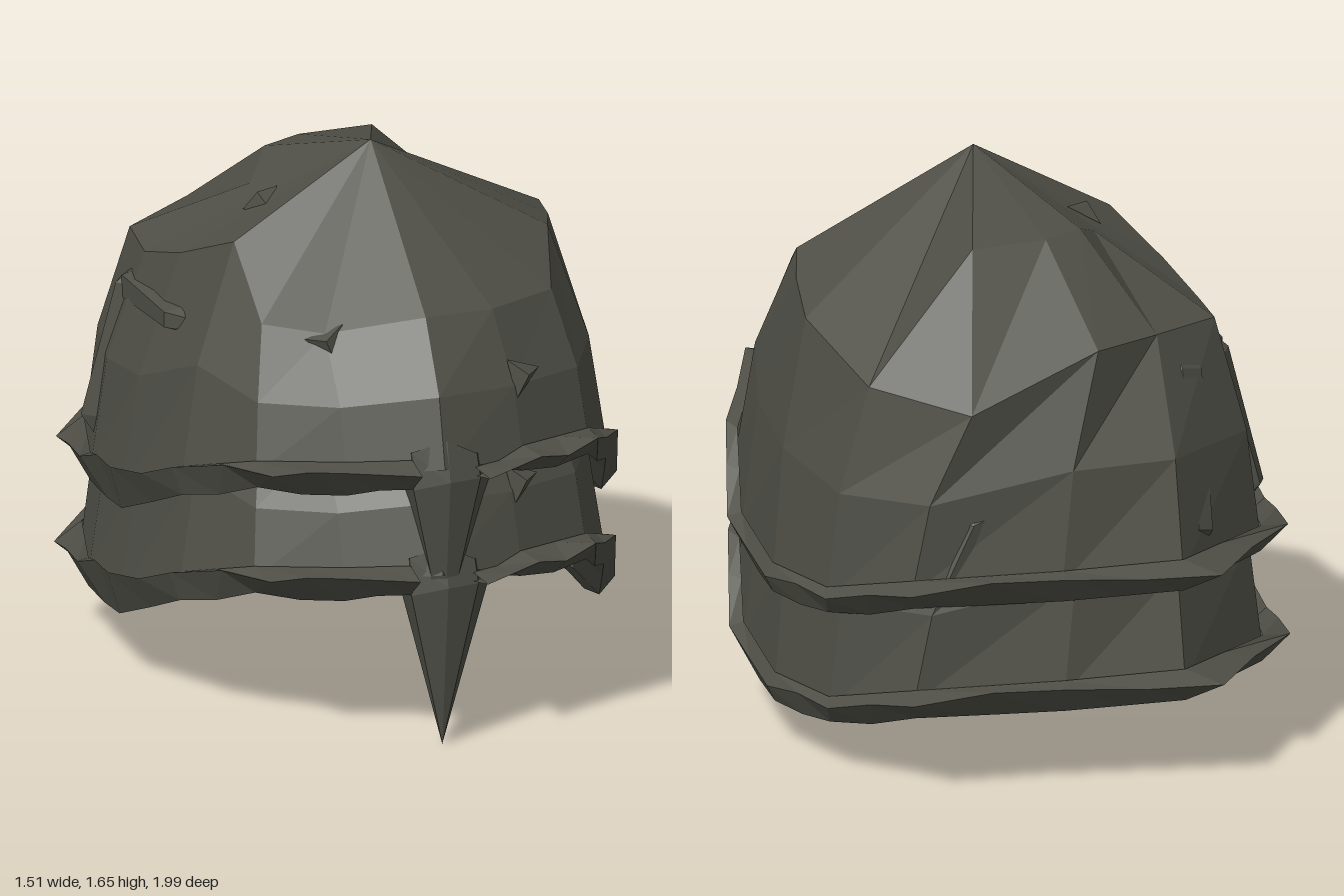
import * as THREE from 'three';

const steel = new THREE.MeshStandardMaterial({ color: 0x4f4f47, flatShading: true, side: THREE.DoubleSide });
steel.name = 'dark steel';

const V = (x, y, z) => new THREE.Vector3(x, y, z);
const points = rows => rows.map(([x, z, y]) => V(x, y, z));
const mix = (a, b, t, ty = t) => V(a.x + (b.x - a.x) * t, a.y + (b.y - a.y) * ty, a.z + (b.z - a.z) * t);

// Each row is x, z, y; loops run from the front round the model's left
const foot = points([
  [0, .9, .86], [.27, .8, .84], [.52, .64, .82], [.65, .4, .73],
  [.71, .17, .55], [.73, -.2, .51], [.66, -.5, .52], [.48, -.76, .6],
  [.05, -.86, .62], [-.31, -.89, .63], [-.65, -.56, .6], [-.71, -.3, .57],
  [-.71, 0, .57], [-.65, .4, .74], [-.5, .65, .82], [-.27, .8, .84]]);
const shoulder = points([
  [0, .71, 1.27], [.22, .66, 1.26], [.45, .5, 1.25], [.52, .24, 1.36],
  [.58, .05, 1.33], [.63, -.2, 1.29], [.54, -.53, 1.17], [.3, -.77, 1.13],
  [-.1, -.73, 1.28], [-.32, -.6, 1.27], [-.55, -.43, 1.25], [-.57, -.22, 1.24],
  [-.53, 0, 1.3], [-.44, .24, 1.4], [-.43, .48, 1.22], [-.28, .62, 1.22]]);
const lipEdge = points([
  [.11, .99, .85], [.3, .89, .87], [.5, .8, .88], [.67, .45, .78],
  [.745, .2, .57], [.755, -.2, .51], [.68, -.55, .54], [.51, -.85, .62],
  [.05, -.92, .65], [-.4, -.98, .64], [-.76, -.48, .61], [-.76, -.25, .62],
  [-.76, .05, .68], [-.68, .4, .78], [-.49, .78, .85], [-.3, .87, .87], [-.09, .97, .87]]);
const apex = V(0, 1.65, .17);

// Flat-faced surface joining rows of points
function loft(rows, closed) {
  const pos = [], n = rows[0].length;
  for (let r = 0; r < rows.length - 1; r++) {
    for (let i = 0; i < (closed ? n : n - 1); i++) {
      const j = (i + 1) % n;
      const a = rows[r][i], b = rows[r][j], c = rows[r + 1][j], d = rows[r + 1][i];
      for (const p of [a, b, c, a, c, d]) pos.push(p.x, p.y, p.z);
    }
  }
  const g = new THREE.BufferGeometry();
  g.setAttribute('position', new THREE.Float32BufferAttribute(pos, 3));
  g.computeVertexNormals();
  return g;
}

function part(group, name, geometry) {
  const m = new THREE.Mesh(geometry, steel);
  m.name = name;
  group.add(m);
  return m;
}

function random(seed) {
  return () => (seed = (seed * 16807) % 2147483647) / 2147483647 - .5;
}

// Insert a point midway along every segment of an open line
function subdivide(line) {
  return line.flatMap((p, i) => i < line.length - 1 ? [p, mix(p, line[i + 1], .5)] : [p]);
}

// Low flat-topped rib lying on the shell from a to b
function rib(a, b, width, height) {
  const out = V(a.x + b.x, 0, a.z + b.z).normalize();
  const side = b.clone().sub(a).cross(out).setLength(width / 2);
  const row = (p, w, h) => [[-1, -.03], [-.6, h], [.6, h], [1, -.03]].map(([s, o]) =>
    p.clone().addScaledVector(side, s * w).addScaledVector(out, o));
  return loft([row(a, .5, -.02), row(mix(a, b, .12), 1, height), row(mix(a, b, .9), .7, height), row(b, .5, -.02)], false);
}

function shell(name, seed) {
  const g = new THREE.Group();
  g.name = name;
  const rnd = random(seed);

  // Dome: wall, shoulder and crown
  const belly = foot.map((p, i) => mix(p, shoulder[i], .3, .5));
  const crown = shoulder.map(p => {
    const back = p.z < -.58;
    const q = mix(p, apex, back ? .42 : .5);
    if (back) q.y = 1.51;
    return q;
  });
  part(g, 'dome', loft([foot, belly, shoulder, crown, shoulder.map(() => apex)], true));

  // Ragged brim, open at the brow, with a ledge turned inward below
  const inner = subdivide([V(.1, .84, .87), ...foot.slice(1), V(-.09, .85, .87)]);
  const edge = subdivide(lipEdge);
  const last = edge.length - 1;
  const rough = (p, i, amount) => {
    if (i > 1 && i < last - 1) {
      p.y += rnd() * amount;
      p.x *= 1 - Math.abs(rnd()) * amount * .5;
    }
    return p;
  };
  const end = i => i < 2 ? .3 : 1;
  const top = inner.map((p, i) => V(p.x, p.y + .04 * end(i), p.z));
  const outer = edge.map((p, i) => i % 2 ? rough(p.clone(), i, .05) : p);
  const under = inner.map((p, i) => rough(V(p.x, p.y - .05 * end(i), p.z), i, .03));
  const ledge = inner.map(p => V(p.x * .89, p.y + .04, p.z * .9));
  part(g, 'brim', loft([top, outer, under, ledge], false));

  // Nose spike: ridged, hanging from the brow
  const tip = V(.01, .33, .86);
  const base = [V(-.09, .8, .88), V(.015, .82, .905), V(.115, .82, .88), V(.19, .77, .73), V(-.08, .77, .75)];
  const brow = [V(-.09, .91, .86), V(.015, .94, .875), V(.11, .89, .86), V(.15, .88, .78), V(-.08, .9, .78)];
  part(g, 'noseSpike', loft([brow, base, base.map(() => tip)], true));

  // Small angular dents
  for (const p of [V(.29, 1.08, .755), V(-.3, 1.465, .05), V(-.28, 1.2, .64)]) {
    const c = part(g, 'dent', new THREE.ConeGeometry(.07, .04, 3, 1, true));
    c.position.copy(p);
    c.quaternion.setFromUnitVectors(V(0, 1, 0), V(p.x, (p.y - .85) * .8, p.z).normalize());
  }
  return g;
}

export function createModel() {
  const model = new THREE.Group();
  model.name = 'helmet';
  const upper = shell('upperShell', 7);
  const lower = shell('lowerShell', 7);
  lower.position.set(0, -.33, -.02);

  // Raised rib at the rear right and a frame on the right side
  part(upper, 'rearRib', rib(V(-.42, 1.22, -.54), V(-.4, .66, -.78), .15, .025));
  part(upper, 'sideFrame', rib(V(-.57, 1.18, -.33), V(-.7, .66, -.36), .11, .03));
  part(upper, 'sideFrame', rib(V(-.585, 1.11, -.36), V(-.575, 1.13, .14), .11, .03));

  model.add(upper, lower);
  return model;
}
